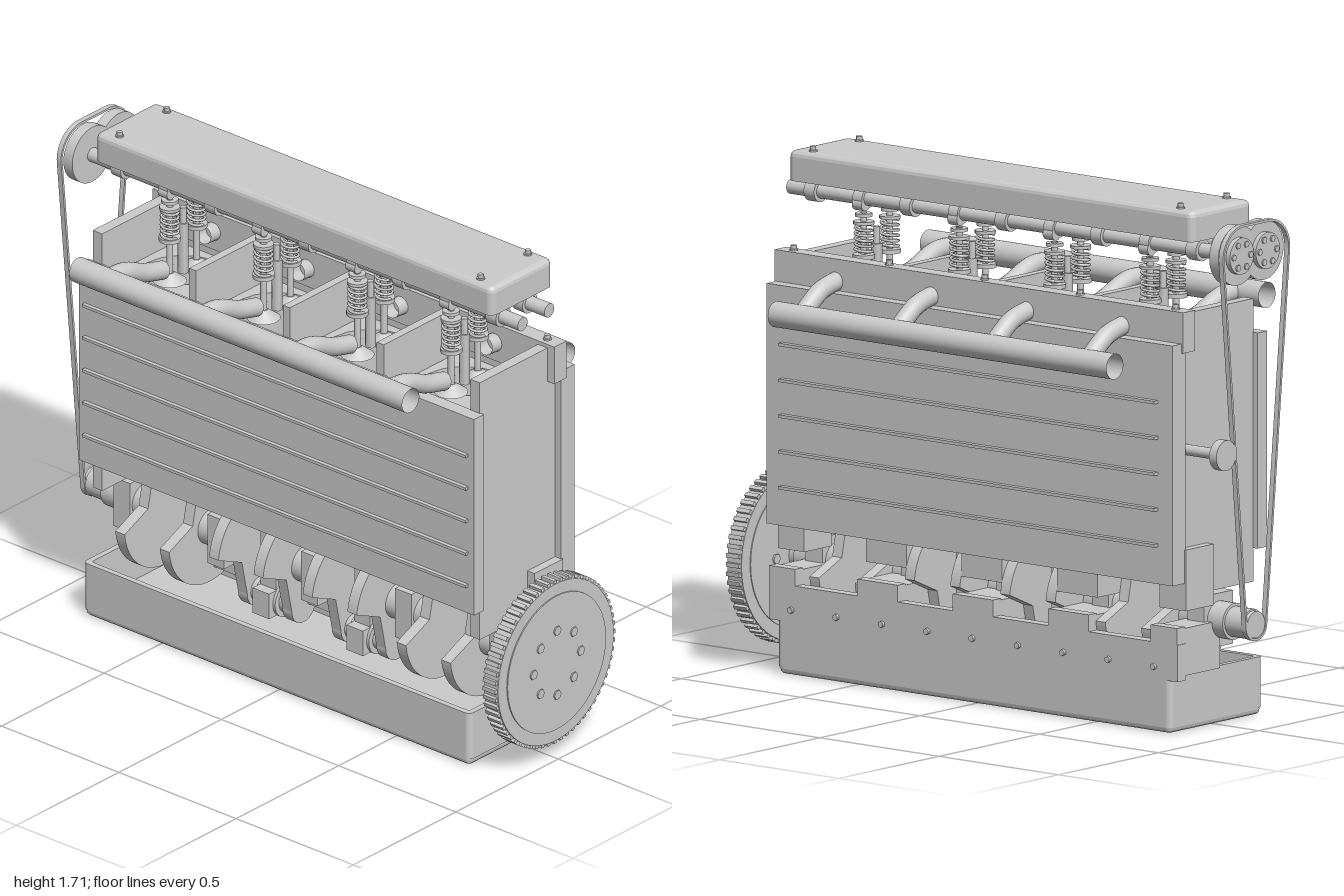
import * as THREE from 'three';

export function createModel() {
  const root = new THREE.Group();
  root.name = 'cutawayEngine';
  const mat = new THREE.MeshStandardMaterial({ color: 0xcccccc });
  const open = new THREE.MeshStandardMaterial({ color: 0xcccccc, side: THREE.DoubleSide });
  const cylX = [-0.6, -0.2, 0.2, 0.6];
  const mainX = [-0.8, -0.4, 0, 0.4, 0.8];
  const crankY = 0.345, camY = 1.558, camZ = 0.065, throwR = 0.155;

  const add = (name, geo, x = 0, y = 0, z = 0, m = mat) => {
    const mesh = new THREE.Mesh(geo, m);
    mesh.name = name;
    mesh.position.set(x, y, z);
    root.add(mesh);
    return mesh;
  };
  // Box given by its limits
  const box = (name, x0, x1, y0, y1, z0, z1) =>
    add(name, new THREE.BoxGeometry(x1 - x0, y1 - y0, z1 - z0), (x0 + x1) / 2, (y0 + y1) / 2, (z0 + z1) / 2);
  // Cylinders along each axis
  const cylV = (name, r, y0, y1, x, z, n = 20) =>
    add(name, new THREE.CylinderGeometry(r, r, y1 - y0, n), x, (y0 + y1) / 2, z);
  const cylH = (name, r, x0, x1, y, z, n = 32) =>
    add(name, new THREE.CylinderGeometry(r, r, x1 - x0, n).rotateZ(-Math.PI / 2), (x0 + x1) / 2, y, z);
  const cylZ = (name, r, z0, z1, x, y, n = 6) =>
    add(name, new THREE.CylinderGeometry(r, r, z1 - z0, n).rotateX(Math.PI / 2), x, y, (z0 + z1) / 2);
  const bolt = (x, y, z) => {
    cylV('boltWasher', 0.014, y, y + 0.005, x, z, 12);
    cylV('boltHead', 0.01, y, y + 0.017, x, z, 6);
  };
  // Rounded rectangle in plan
  const roundRect = (Type, hx, hz, r) => {
    const s = new Type();
    s.absarc(hx - r, hz - r, r, 0, Math.PI / 2);
    s.absarc(-hx + r, hz - r, r, Math.PI / 2, Math.PI);
    s.absarc(-hx + r, -hz + r, r, Math.PI, Math.PI * 1.5);
    s.absarc(hx - r, -hz + r, r, Math.PI * 1.5, Math.PI * 2);
    s.closePath();
    return s;
  };
  const slab = (shape, depth, bevel = 0) => {
    const g = new THREE.ExtrudeGeometry(shape, {
      depth: depth - 2 * bevel, bevelEnabled: bevel > 0, bevelSize: bevel,
      bevelThickness: bevel, bevelOffset: -bevel, bevelSegments: 3, curveSegments: 8,
    });
    return g.translate(0, 0, bevel).rotateX(-Math.PI / 2);
  };
  const walls = (hx, hz, r, t, h) => {
    const s = roundRect(THREE.Shape, hx, hz, r);
    s.holes.push(roundRect(THREE.Path, hx - t, hz - t, r * 0.5));
    return slab(s, h);
  };

  // Oil pan: open tray with a bevelled bottom
  add('oilPanWalls', walls(0.825, 0.232, 0.02, 0.02, 0.165), 0, 0.025, 0);
  add('oilPanFloor', slab(roundRect(THREE.Shape, 0.822, 0.229, 0.02), 0.045, 0.018));

  // Valve cover: shell open below, with corner bolts
  add('valveCoverWalls', walls(0.848, 0.15, 0.025, 0.018, 0.075), 0, 1.597, 0);
  add('valveCoverTop', slab(roundRect(THREE.Shape, 0.848, 0.15, 0.025), 0.045, 0.02), 0, 1.651, 0);
  for (const x of [-0.77, 0.77]) for (const z of [-0.115, 0.115]) bolt(x, 1.696, z);

  // Block: side panels with ribs, end walls, dividers, head rail
  box('frontPanel', -0.845, 0.84, 0.55, 1.255, 0.18, 0.228);
  box('backPanel', -0.85, 0.85, 0.49, 1.275, -0.252, -0.185);
  for (let i = 0; i < 5; i++) {
    box('frontRib', -0.82, 0.815, 0.645 + i * 0.117, 0.655 + i * 0.117, 0.22, 0.242);
    box('backRib', -0.79, 0.785, 0.612 + i * 0.117, 0.622 + i * 0.117, -0.272, -0.245);
  }
  for (const s of [-1, 1]) box('endWall', s * 0.805 - 0.02, s * 0.805 + 0.02, 0.44, 1.365, -0.19, 0.183);
  for (const x of [-0.4, 0, 0.4]) box('cylinderDivider', x - 0.015, x + 0.015, 0.6, 1.365, -0.19, 0.182);
  box('headRail', -0.858, 0.855, 1.245, 1.378, -0.207, -0.147);
  mainX.forEach(x => bolt(x, 1.378, -0.176));

  // Deck plate with four bores, and the cylinder liners
  const deck = roundRect(THREE.Shape, 0.8, 0.182, 0.005);
  for (const x of cylX) deck.holes.push(new THREE.Path().absarc(x, 0, 0.158, 0, Math.PI * 2));
  add('deckPlate', slab(deck, 0.03), 0, 1.17, 0);
  for (const x of cylX)
    add('cylinderLiner', new THREE.CylinderGeometry(0.16, 0.16, 0.6, 40, 1, true), x, 0.88, 0, open);

  // Lower crankcase rail with bearing saddles
  box('crankcaseRail', -0.858, 0.855, 0.175, 0.295, -0.235, -0.195);
  for (const x of mainX) {
    const w = Math.abs(x) > 0.7 ? 0.055 : 0.085;
    box('bearingSaddle', x - w, x + w, 0.19, 0.345, -0.2, -0.02);
    box('railTab', x - w, x + w, 0.29, 0.35, -0.235, -0.195);
    box('bulkhead', x - w, x + w, 0.4, 0.6, -0.19, -0.05);
    box('bearingCap', x - 0.035, x + 0.035, 0.255, 0.43, -0.075, 0.07);
  }
  for (let i = 0; i < 9; i++) cylZ('railBolt', 0.011, -0.245, -0.23, -0.76 + i * 0.19, 0.215);

  // Crankshaft
  cylH('crankNose', 0.05, -0.975, -0.86, crankY, 0);
  cylH('crankTail', 0.05, 0.86, 0.94, crankY, 0);
  for (const x of mainX) cylH('mainJournal', 0.06, x - 0.1, x + 0.1, crankY, 0);
  const web = new THREE.Shape();
  web.moveTo(-0.2, -0.02);
  web.absarc(0, 0, 0.2, Math.PI + 0.1, Math.PI * 2 - 0.1);
  web.lineTo(0.085, 0.03);
  web.absarc(0, throwR, 0.058, 0, Math.PI);
  web.lineTo(-0.085, 0.03);
  web.closePath();
  const webGeo = new THREE.ExtrudeGeometry(web, { depth: 0.04, bevelEnabled: false, curveSegments: 20 })
    .translate(0, 0, -0.02).rotateY(Math.PI / 2);

  cylX.forEach((x, i) => {
    const up = i === 0 || i === 3 ? 1 : -1;
    const pinY = crankY + up * throwR, wristY = pinY + 0.5;
    for (const s of [-1, 1]) {
      const w = add('crankWeb', webGeo, x + s * 0.095, crankY, 0);
      if (up < 0) w.rotation.x = Math.PI;
    }
    cylH('crankPin', 0.042, x - 0.09, x + 0.09, pinY, 0);
    // Connecting rod and piston
    cylH('rodBigEnd', 0.06, x - 0.045, x + 0.045, pinY, 0);
    box('rodCap', x - 0.035, x + 0.035, pinY - 0.045, pinY + 0.045, -0.078, 0.078);
    box('rodShank', x - 0.014, x + 0.014, pinY + 0.04, wristY, -0.035, 0.035);
    for (const s of [-1, 1])
      box('rodFlange', x - 0.033, x + 0.033, pinY + 0.04, wristY, s * 0.033 - 0.008, s * 0.033 + 0.008);
    cylH('wristPin', 0.03, x - 0.13, x + 0.13, wristY, 0, 20);
    cylV('pistonSkirt', 0.15, wristY - 0.08, wristY + 0.1, x, 0, 40);
    for (let k = 0; k < 3; k++) cylV('pistonRing', 0.156, wristY + 0.035 + k * 0.024, wristY + 0.047 + k * 0.024, x, 0, 40);

    // Spark plug
    cylV('sparkPlugBody', 0.018, 1.22, 1.4, x, 0, 6);
    cylV('sparkPlugTip', 0.011, 1.4, 1.455, x, 0, 12);
  });

  // Helical valve spring
  class Helix extends THREE.Curve {
    getPoint(t, p = new THREE.Vector3()) {
      const a = t * Math.PI * 2 * 5.5;
      return p.set(Math.cos(a) * 0.028, t * 0.095, Math.sin(a) * 0.028);
    }
  }
  const springGeo = new THREE.TubeGeometry(new Helix(), 88, 0.005, 6);

  // Camshafts, valves and cam sprockets
  for (const s of [-1, 1]) {
    const z = s * camZ;
    cylH('camshaft', 0.024, -0.95, 0.905, camY, z);
    for (const x of mainX) cylH('camBearing', 0.036, x - 0.022, x + 0.022, camY, z);
    for (const x of cylX) {
      cylH('camBase', 0.033, x - 0.02, x + 0.02, camY, z);
      const nose = cylH('camLobe', 0.022, x - 0.02, x + 0.02, camY - 0.018, z + s * 0.014);
      nose.name = 'camNose';
      add('valveSpring', springGeo, x, 1.375, z);
      cylV('springSeat', 0.036, 1.36, 1.374, x, z);
      cylV('springRetainer', 0.034, 1.472, 1.482, x, z);
      cylV('valveStem', 0.011, 1.23, 1.51, x, z, 14);
      cylV('valveTappet', 0.028, 1.497, 1.508, x, z);
      add('valveHead', new THREE.CylinderGeometry(0.014, 0.055, 0.03, 28), x, 1.23, z);
    }
    cylH('camSprocket', 0.098, -0.968, -0.93, camY, z, 40);
    cylH('camSprocketHub', 0.06, -0.985, -0.93, camY, z);
    for (let k = 0; k < 6; k++) {
      const a = k * Math.PI / 3;
      cylH('sprocketBolt', 0.011, -0.99, -0.96, camY + Math.sin(a) * 0.042, z + Math.cos(a) * 0.042, 6);
    }
  }

  // Timing chain: outline around both cam sprockets and the crank sprocket
  const loop = (Type, d) => {
    const p = new Type();
    p.absarc(camZ, camY, 0.095 + d, -0.09, Math.PI / 2);
    p.absarc(-camZ, camY, 0.095 + d, Math.PI / 2, Math.PI + 0.09);
    p.absarc(0, crankY, 0.045 + d, Math.PI + 0.09, Math.PI * 2 - 0.09);
    p.closePath();
    return p;
  };
  const chain = loop(THREE.Shape, 0.008);
  chain.holes.push(loop(THREE.Path, 0));
  add('timingChain', new THREE.ExtrudeGeometry(chain, { depth: 0.018, bevelEnabled: false, curveSegments: 16 })
    .rotateY(Math.PI / 2), -0.992, 0, 0);
  cylH('crankSprocket', 0.044, -0.99, -0.965, crankY, 0, 24);
  cylH('chainTensioner', 0.05, -0.995, -0.965, 0.92, -0.155);
  cylH('tensionerAxle', 0.018, -0.97, -0.82, 0.92, -0.155, 16);

  // Flywheel with ring gear and bolt circle
  cylH('flywheelRim', 0.282, 0.93, 0.99, crankY, 0, 72);
  cylH('flywheelFace', 0.24, 0.927, 0.994, crankY, 0, 64);
  for (let i = 0; i < 60; i++) {
    const a = i * Math.PI / 30;
    const tooth = box('flywheelTooth', 0.933, 0.987, -0.007, 0.007, -0.009, 0.009);
    tooth.position.y = crankY + Math.sin(a) * 0.284;
    tooth.position.z = Math.cos(a) * 0.284;
    tooth.rotation.x = -a;
  }
  for (let i = 0; i < 8; i++) {
    const a = i * Math.PI / 4;
    cylH('flywheelBolt', 0.017, 0.92, 0.999, crankY + Math.sin(a) * 0.115, Math.cos(a) * 0.115, 6);
  }

  // Intake and exhaust manifolds: open log pipes with four bent runners
  const manifold = (name, pts, y, z) => {
    const pipe = add(name + 'Pipe', new THREE.CylinderGeometry(0.042, 0.042, 1.42, 32, 1, true).rotateZ(Math.PI / 2), -0.007, y, z, open);
    pipe.name = name + 'Log';
    const path = new THREE.CatmullRomCurve3(pts.map(p => new THREE.Vector3(0, p[1], p[0])));
    const geo = new THREE.TubeGeometry(path, 20, 0.031, 20);
    for (const x of cylX) add(name + 'Runner', geo, x, 0, 0, open);
  };
  manifold('frontManifold', [[0.1, 1.265], [0.19, 1.29], [0.27, 1.325], [0.31, 1.335], [0.38, 1.335]], 1.335, 0.38);
  manifold('backManifold', [[-0.1, 1.315], [-0.2, 1.305], [-0.28, 1.285], [-0.32, 1.26], [-0.385, 1.21]], 1.21, -0.38);

  return root;
}
